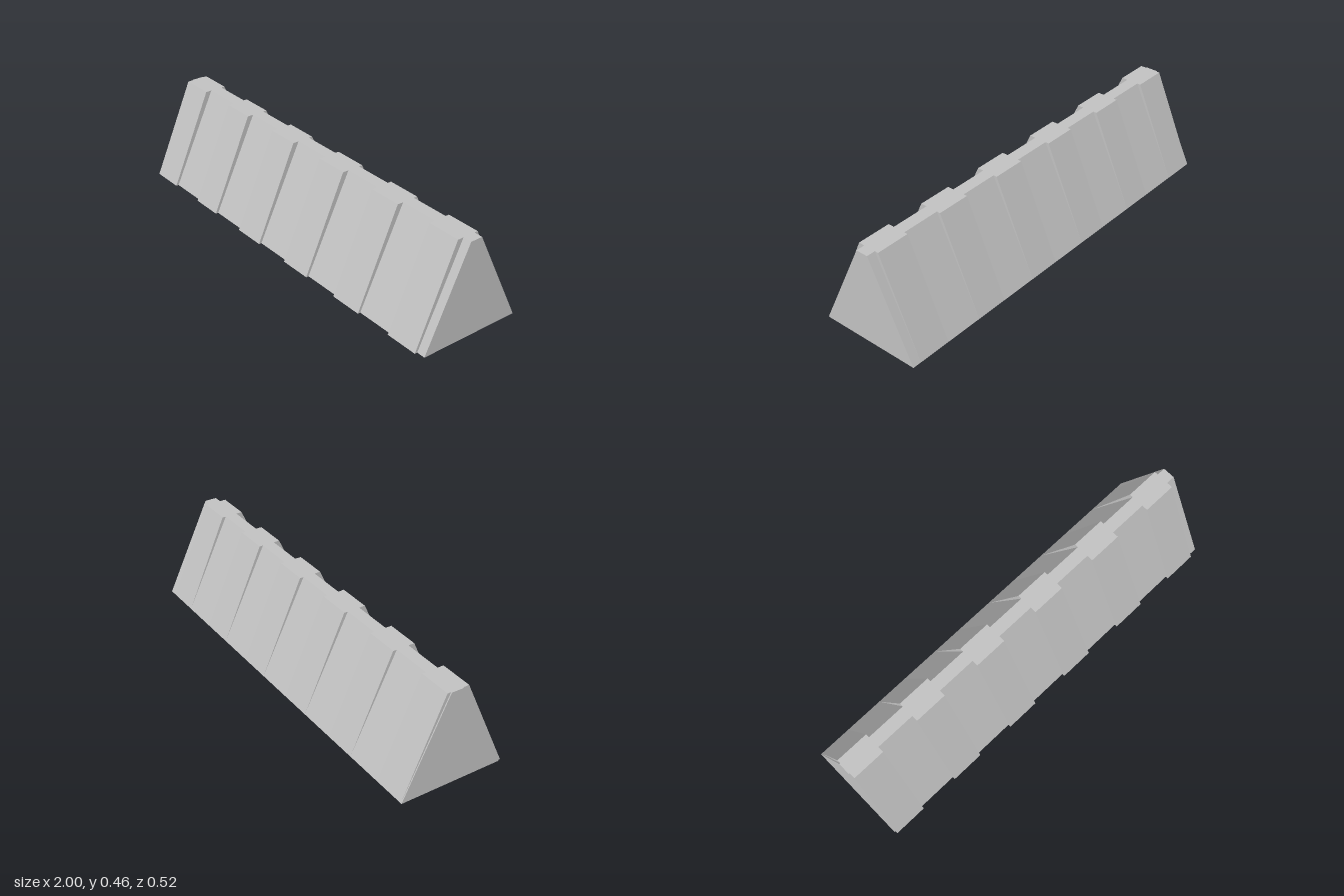
import * as THREE from 'three';

const HEIGHT = 0.46;

// Prism running along x from x0 to x1, with a [z, y] cross-section
function prism(profile, x0, x1) {
  const shape = new THREE.Shape(profile.map(([z, y]) => new THREE.Vector2(-z, y)));
  const geometry = new THREE.ExtrudeGeometry(shape, { depth: x1 - x0, bevelEnabled: false });
  geometry.rotateY(Math.PI / 2);
  geometry.translate(x0, 0, 0);
  return geometry;
}

export function createModel() {
  const model = new THREE.Group();
  model.name = 'barrier';
  const concrete = new THREE.MeshStandardMaterial({ color: 0xc2c2c2 });
  concrete.name = 'concrete';

  const add = (name, profile, x0, x1) => {
    const mesh = new THREE.Mesh(prism(profile, x0, x1), concrete);
    mesh.name = name;
    model.add(mesh);
  };

  // Tapered core along the full length
  add('core', [[0.246, 0], [0.024, HEIGHT], [-0.036, HEIGHT], [-0.259, 0]], -1, 1);

  // Raised panels on both slopes; the back ones fade out at the ground
  const frontPanel = [[0.259, 0], [0.054, HEIGHT], [0.024, HEIGHT], [0.246, 0]];
  const backPanel = [[-0.259, 0], [-0.036, HEIGHT], [-0.054, HEIGHT]];
  const spans = [[-0.995, -0.832], [-0.637, -0.475], [-0.28, -0.117],
    [0.076, 0.241], [0.433, 0.599], [0.791, 0.957]];
  spans.forEach(([x0, x1], i) => {
    add(`frontPanel${i + 1}`, frontPanel, x0, x1);
    add(`backPanel${i + 1}`, backPanel, x0, x1);
  });

  return model;
}
